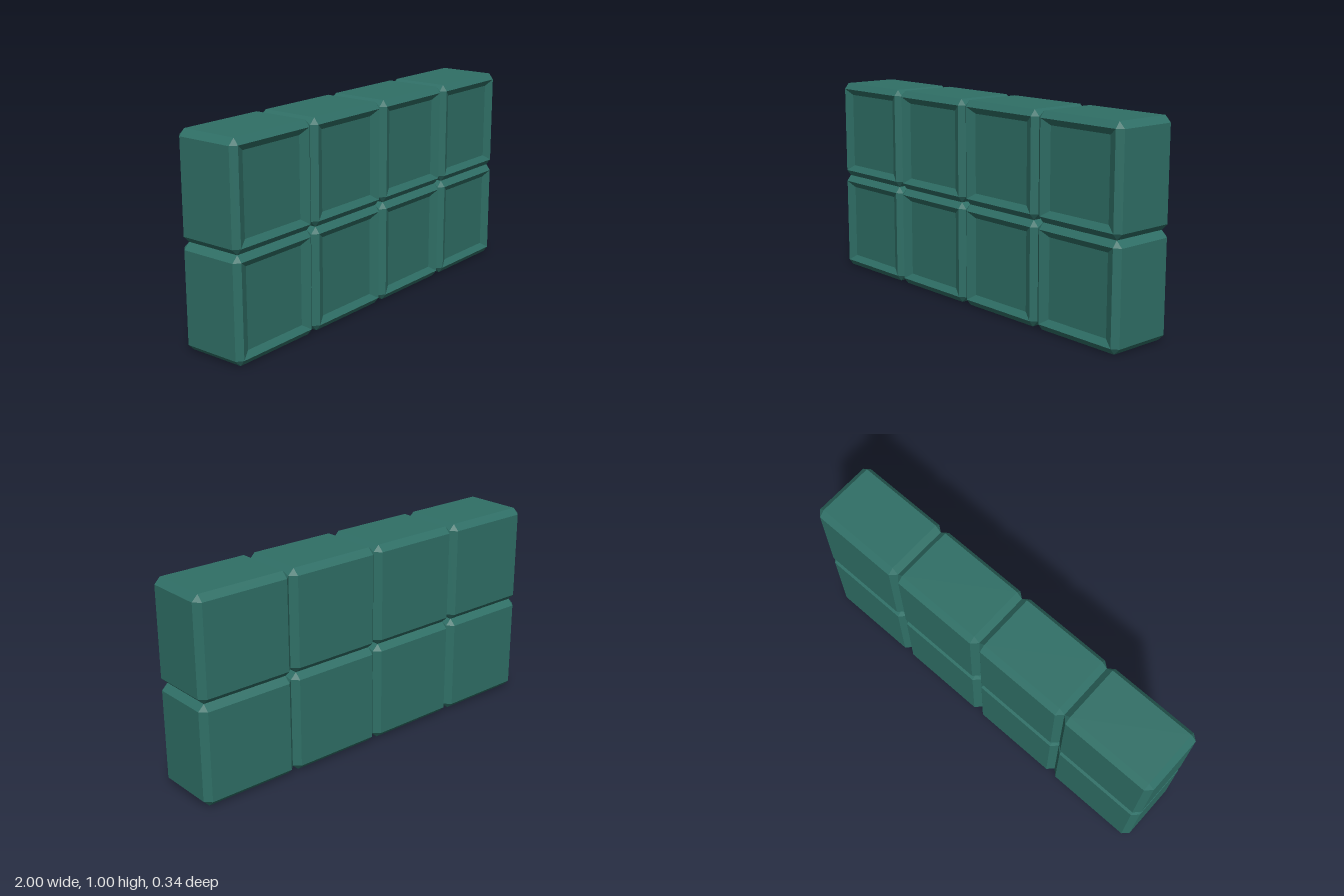
import * as THREE from 'three';

// Eight-point outline: a rectangle of half sizes (hx, hy) with its corners cut by c
function ring(hx, hy, c, z) {
  return [
    [hx, -hy + c], [hx, hy - c], [hx - c, hy], [-hx + c, hy],
    [-hx, hy - c], [-hx, -hy + c], [-hx + c, -hy], [hx - c, -hy],
  ].map(([x, y]) => new THREE.Vector3(x, y, z));
}

// Chamfered block with a shallow sloped recess in its front face
function blockGeometry() {
  const rings = [
    ring(0.22, 0.22, 0, -0.17),    // back face
    ring(0.25, 0.25, 0.03, -0.14), // back chamfer
    ring(0.25, 0.25, 0.03, 0.147), // sides
    ring(0.22, 0.22, 0, 0.17),     // front rim
    ring(0.175, 0.19, 0, 0.15),    // recess floor
  ];
  const points = [];
  const tri = (a, b, c) => {
    const area = b.clone().sub(a).cross(c.clone().sub(a)).length();
    if (area > 1e-8) points.push(a, b, c);
  };
  for (let r = 0; r < rings.length - 1; r++) {
    const lo = rings[r], hi = rings[r + 1];
    for (let i = 0; i < 8; i++) {
      const j = (i + 1) % 8;
      tri(lo[i], lo[j], hi[j]);
      tri(lo[i], hi[j], hi[i]);
    }
  }
  // Back and recess floor caps
  const back = rings[0], floor = rings[rings.length - 1];
  for (let i = 1; i < 7; i++) {
    tri(back[0], back[i + 1], back[i]);
    tri(floor[0], floor[i], floor[i + 1]);
  }
  const geometry = new THREE.BufferGeometry().setFromPoints(points);
  geometry.computeVertexNormals();
  return geometry;
}

export function createModel() {
  const group = new THREE.Group();
  group.name = 'blockWall';
  const material = new THREE.MeshStandardMaterial({ color: 0x2f6f66, flatShading: true });
  const geometry = blockGeometry();

  // Two rows of four blocks
  for (let row = 0; row < 2; row++) {
    for (let col = 0; col < 4; col++) {
      const block = new THREE.Mesh(geometry, material);
      block.name = `block row ${row + 1} column ${col + 1}`;
      block.position.set(-0.75 + col * 0.5, 0.25 + row * 0.5, 0);
      group.add(block);
    }
  }
  return group;
}
